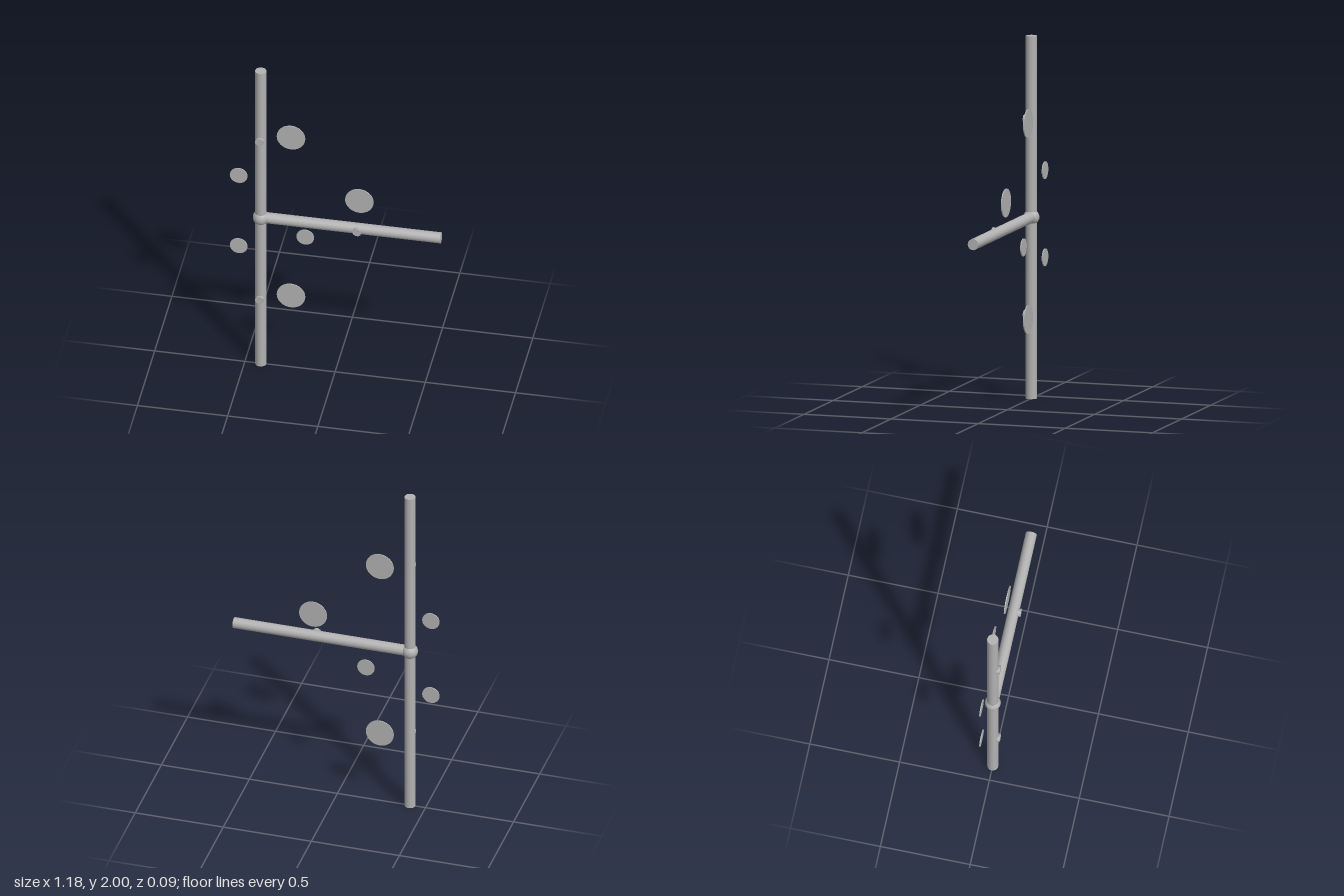
import * as THREE from 'three';

export function createModel() {
  const model = new THREE.Group();
  model.name = 'branchedPipe';

  const grey = new THREE.MeshStandardMaterial({ color: 0xb3b3b3 });
  grey.name = 'grey';

  const pipeRadius = 0.031;
  const add = (parent, name, geometry, x = 0, y = 0, z = 0) => {
    const mesh = new THREE.Mesh(geometry, grey);
    mesh.name = name;
    mesh.position.set(x, y, z);
    parent.add(mesh);
  };
  // Short cylinder whose axis points to the front
  const disc = (radius, depth, sides) =>
    new THREE.CylinderGeometry(radius, radius, depth, sides).rotateX(Math.PI / 2);

  const pipeGeometry = new THREE.CylinderGeometry(pipeRadius, pipeRadius, 1, 16).translate(0, 0.5, 0);
  const studGeometry = disc(0.024, 0.026, 10);
  const largeDisc = disc(0.079, 0.006, 32);
  const smallDisc = disc(0.049, 0.006, 32);

  // Three arms meet at the joint; each is built pointing up, then turned
  const joint = new THREE.Group();
  joint.name = 'joint';
  joint.position.set(-0.412, 1, 0);
  model.add(joint);
  add(joint, 'jointBall', new THREE.SphereGeometry(0.044, 20, 14));

  const arms = [
    { name: 'upperArm', angle: 0, side: 1 },
    { name: 'sideArm', angle: -Math.PI / 2, side: -1 },
    { name: 'lowerArm', angle: Math.PI, side: -1 },
  ];
  for (const { name, angle, side } of arms) {
    const arm = new THREE.Group();
    arm.name = name;
    arm.rotation.z = angle;
    add(arm, 'pipe', pipeGeometry);
    add(arm, 'stud', studGeometry, 0, 0.54, 0.029);
    // Discs float just behind the arm, one on each side
    add(arm, 'largeDisc', largeDisc, side * 0.161, 0.54, -0.035);
    add(arm, 'smallDisc', smallDisc, -side * 0.129, 0.24, -0.035);
    joint.add(arm);
  }
  return model;
}
